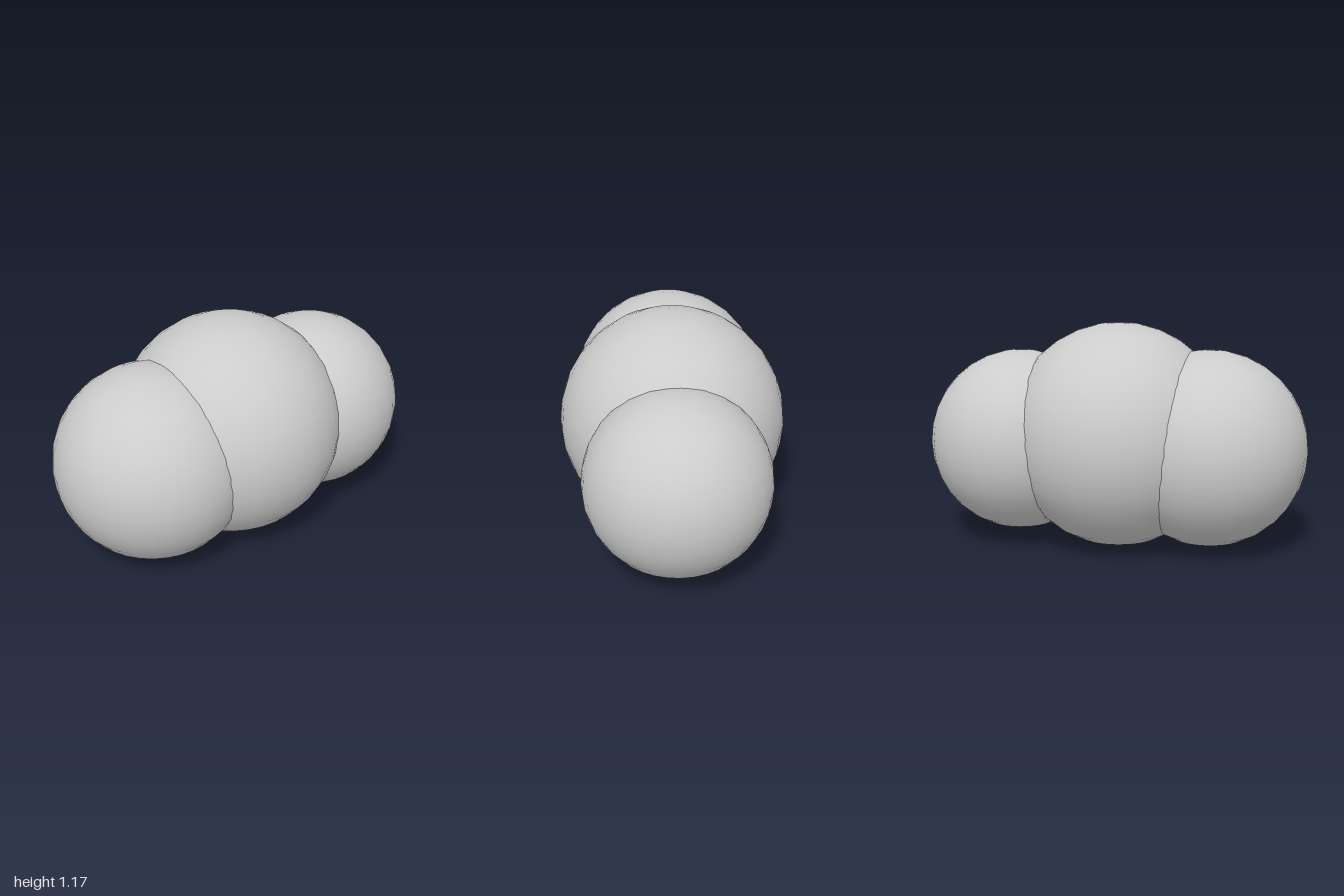
import * as THREE from 'three';

export function createModel() {
  const model = new THREE.Group();
  model.name = 'threeLobedBody';

  const grey = new THREE.MeshStandardMaterial({ color: 0xcccccc });
  grey.name = 'light grey';

  // Three overlapping smooth spheres in a row: name, x, y, radius
  const lobes = [
    ['rightLobe', -0.492, 0.533, 0.508],
    ['middleLobe', -0.012, 0.585, 0.585],
    ['leftLobe', 0.523, 0.534, 0.477],
  ];
  for (const [name, x, y, radius] of lobes) {
    const lobe = new THREE.Mesh(new THREE.SphereGeometry(radius, 32, 16), grey);
    lobe.name = name;
    lobe.position.set(x, y, 0);
    model.add(lobe);
  }
  return model;
}
